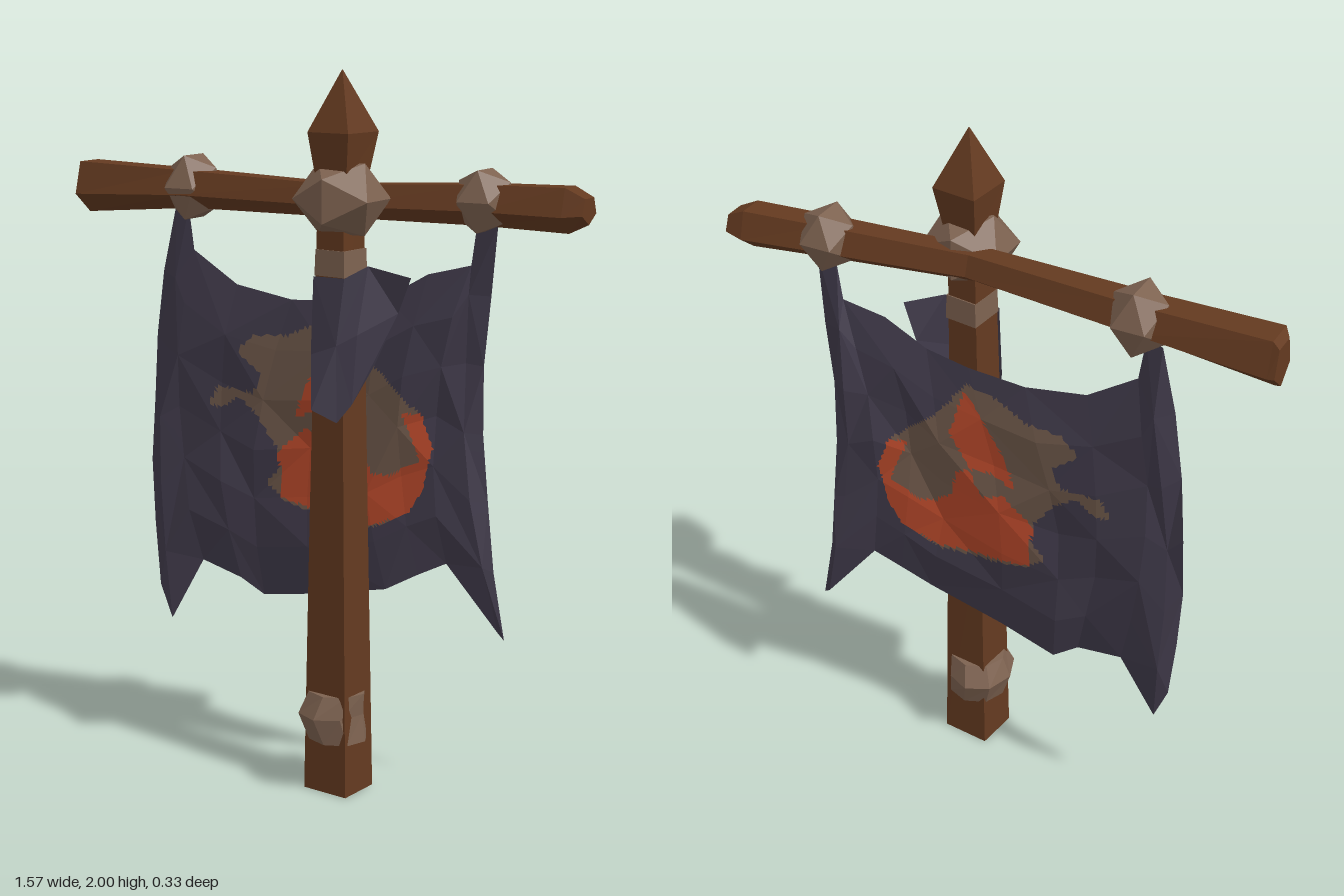
import * as THREE from 'three';

const mat = (name, color) => {
  const m = new THREE.MeshStandardMaterial({ color, flatShading: true });
  m.name = name;
  return m;
};

function flatGeometry(triangles) {
  const g = new THREE.BufferGeometry().setFromPoints(triangles);
  g.computeVertexNormals();
  return g;
}

// Solid through rings [t, c1, c2, h1, h2] placed along the x or y axis
function loft(axis, sides, sections, turn = 0) {
  const k = sides === 4 ? Math.SQRT2 : 1;
  const at = (t, a, b) => axis === 'y' ? new THREE.Vector3(a, t, b) : new THREE.Vector3(t, a, b);
  const rings = sections.map(([t, c1, c2, h1, h2]) => Array.from({ length: sides }, (_, i) => {
    const w = turn + i / sides * Math.PI * 2;
    return at(t, c1 + h1 * k * Math.cos(w), c2 + h2 * k * Math.sin(w));
  }));
  const tris = [];
  const add = (a, b, c) => axis === 'y' ? tris.push(a, b, c) : tris.push(a, c, b);
  const [first, last] = [sections[0], sections.at(-1)].map(s => at(s[0], s[1], s[2]));
  for (let i = 0; i < sides; i++) {
    const j = (i + 1) % sides;
    for (let r = 0; r + 1 < rings.length; r++) {
      const p = rings[r], q = rings[r + 1];
      add(p[i], q[i], p[j]);
      add(p[j], q[i], q[j]);
    }
    add(first, rings[0][i], rings[0][j]);
    add(last, rings.at(-1)[j], rings.at(-1)[i]);
  }
  return flatGeometry(tris);
}

// Faceted sheet through a grid of points; each facet is cut into n*n pieces,
// sorted into one geometry group per colour by pick(x, y)
function sheet(grid, n, colours, pick) {
  const bins = Array.from({ length: colours }, () => []);
  const facet = (a, b, c) => {
    const p = (i, j) => a.clone().multiplyScalar(1 - (i + j) / n)
      .addScaledVector(b, i / n).addScaledVector(c, j / n);
    const put = (u, v, w) => bins[pick((u.x + v.x + w.x) / 3, (u.y + v.y + w.y) / 3)].push(u, v, w);
    for (let i = 0; i < n; i++) for (let j = 0; i + j < n; j++) {
      put(p(i, j), p(i + 1, j), p(i, j + 1));
      if (i + j < n - 1) put(p(i + 1, j), p(i + 1, j + 1), p(i, j + 1));
    }
  };
  for (let r = 0; r + 1 < grid.length; r++) for (let c = 0; c + 1 < grid[r].length; c++) {
    const a = grid[r][c], b = grid[r][c + 1], d = grid[r + 1][c], e = grid[r + 1][c + 1];
    if ((r + c) % 2) { facet(a, d, b); facet(b, d, e); }
    else { facet(a, d, e); facet(a, e, b); }
  }
  const g = flatGeometry(bins.flat());
  let start = 0;
  bins.forEach((b, i) => { g.addGroup(start, b.length, i); start += b.length; });
  return g;
}

function inside(poly, x, y) {
  let hit = false;
  poly.forEach(([ax, ay], i) => {
    const [bx, by] = poly[(i + 1) % poly.length];
    if ((ay > y) !== (by > y) && x < ax + (bx - ax) * (y - ay) / (by - ay)) hit = !hit;
  });
  return hit;
}

// Painted emblem outlines
const TAN = [[-.35, 1.04], [-.32, 1.095], [-.2, 1.085], [-.17, 1.14], [-.25, 1.2], [-.2, 1.25], [-.09, 1.26],
  [0, 1.3], [.09, 1.32], [.19, 1.2], [.33, 1.08], [.365, .99], [.34, .87], [.3, .8], [.19, .745], [.03, .757],
  [-.09, .78], [-.16, .825], [-.11, .88], [-.12, .94], [-.18, 1.02], [-.25, 1.07], [-.31, 1.03]];
const RED_BODY = [[-.11, .79], [-.11, .88], [-.12, .92], [-.03, 1], [.04, .98], [.08, 1.06], [.12, 1.04], [.14, .95],
  [.2, .9], [.24, .9], [.33, .95], [.28, 1.08], [.33, 1.08], [.365, .99], [.34, .87], [.3, .8], [.19, .75], [.03, .77]];
const RED_CREST = [[-.06, 1.03], [-.02, 1.13], [.05, 1.24], [.1, 1.3], [.14, 1.16], [.08, 1.06], [.02, 1.06]];

export function createModel() {
  const group = new THREE.Group();
  const wood = mat('wood', 0x643a20);
  const wrap = mat('binding', 0x7d6250);
  const cloth = mat('cloth', 0x413b4b);
  const tan = mat('emblem tan', 0x6e584a);
  const red = mat('emblem red', 0xb7482a);
  for (const m of [cloth, tan, red]) m.side = THREE.DoubleSide;

  const add = (name, geometry, material) => {
    const mesh = new THREE.Mesh(geometry, material);
    mesh.name = name;
    group.add(mesh);
    return mesh;
  };

  // Squared, slightly turned pole with a pointed top
  const turn = Math.PI / 4 + .12;
  add('pole', loft('y', 4, [
    [0, .135, .03, .071, .064], [.8, .136, .035, .057, .057],
    [1.4, .137, .036, .046, .051], [1.7, .14, .036, .043, .046],
  ], turn), wood);
  add('finial', loft('y', 4, [
    [1.72, .15, .05, .05, .05], [1.84, .152, .048, .066, .07], [2, .15, .05, .001, .001],
  ], turn), wood);

  // Bent five-sided crossbar, flat on top
  add('crossbar', loft('x', 5, [
    [-.785, 1.65, -.095, .066, .055], [-.765, 1.652, -.078, .082, .073], [-.4, 1.66, -.066, .06, .068],
    [.1, 1.655, -.025, .05, .05], [.5, 1.66, -.085, .061, .058], [.73, 1.656, -.112, .067, .06],
    [.785, 1.653, -.11, .038, .05],
  ], Math.PI / 5), wood);

  // Lumpy bindings: name, centre, half sizes, whether wrapped around the crossbar
  for (const [name, c, h, onBar] of [
    ['centreBinding', [.152, 1.665, .055], [.113, .095, .108], false],
    ['rightBinding', [-.4, 1.66, -.077], [.075, .09, .08], true],
    ['leftBinding', [.5, 1.665, -.088], [.074, .082, .075], true],
  ]) {
    const g = new THREE.IcosahedronGeometry(1 / .8507, 0);
    if (onBar) g.rotateZ(Math.PI / 2);
    add(name, g.scale(...h), wrap).position.set(...c);
  }
  add('footBinding', loft('y', 8, [
    [.15, .135, .031, .086, .084], [.228, .117, .03, .094, .112], [.29, .132, .032, .084, .082],
  ], Math.PI / 4), wrap);
  add('poleBand', loft('y', 4, [
    [1.46, .14, .036, .049, .054], [1.53, .14, .036, .047, .052],
  ], turn), wrap);

  // Padded banner behind the pole: top and bottom edges, and the depth halfway down
  const top = [[-.47, 1.6, -.09], [-.42, 1.6, -.08], [-.4, 1.48, -.075], [-.26, 1.39, -.08], [-.08, 1.36, -.08],
    [.09, 1.37, -.08], [.22, 1.39, -.075], [.34, 1.46, -.085], [.46, 1.49, -.1], [.475, 1.6, -.1], [.54, 1.6, -.09]];
  const bottom = [[-.53, .47, -.07], [-.49, .37, -.07], [-.39, .56, -.09], [-.25, .53, -.075], [-.18, .485, -.09],
    [0, .52, -.07], [.23, .57, -.065], [.32, .62, -.085], [.4, .66, -.1], [.55, .475, -.125], [.57, .46, -.12]];
  const depth = [-.09, -.088, -.087, -.085, -.082, -.08, -.076, -.078, -.095, -.115, -.122];
  const rows = 6;
  const layer = offset => Array.from({ length: rows + 1 }, (_, r) => top.map((a, c) => {
    const t = r / rows, sag = Math.sin(Math.PI * t);
    const p = new THREE.Vector3(...a).lerp(new THREE.Vector3(...bottom[c]), t);
    const rim = r === 0 || r === rows || c === 0 || c === top.length - 1;
    p.x -= .06 * sag;
    p.z += sag * (depth[c] - p.z + .012 * Math.sin(c * 2.3 + r * 1.7)) + (rim ? 0 : offset);
    if (p.x > 0 && p.x < .26) p.z = Math.min(p.z, -.043);
    return p;
  }));
  const paint = (x, y) =>
    inside(RED_BODY, x, y) || inside(RED_CREST, x, y) ? 2 : inside(TAN, x, y) ? 1 : 0;
  add('bannerFront', sheet(layer(.02), 12, 3, paint), [cloth, tan, red]);
  add('bannerBack', sheet(layer(-.02), 12, 3, paint), [cloth, tan, red]);

  // Loose flap of cloth thrown round the front of the pole
  const flap = [
    [[.092, 1.46, .1], [.187, 1.46, .102], [.23, 1.49, .05], [.335, 1.46, .005]],
    [[.09, 1.25, .11], [.17, 1.28, .115], [.22, 1.31, .09], [.29, 1.36, -.01]],
    [[.12, 1.11, .16], [.17, 1.07, .11], [.205, 1.12, .09], [.24, 1.22, .03]],
  ].map(row => row.map(p => new THREE.Vector3(...p)));
  add('frontFlap', sheet(flap, 1, 1, () => 0), [cloth]);

  return group;
}
